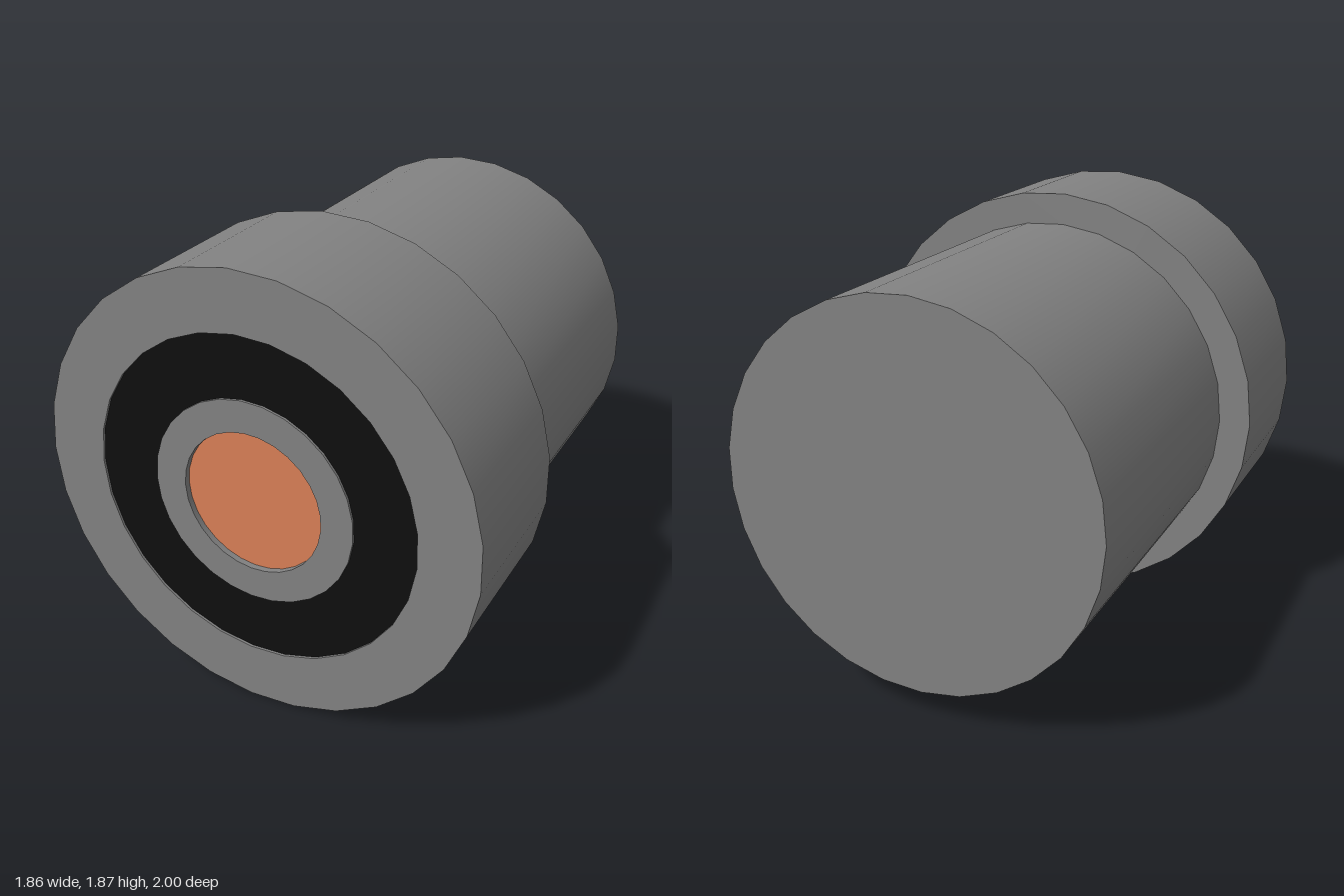
import * as THREE from 'three';
import { mergeGeometries } from 'three/addons/utils/BufferGeometryUtils.js';

const SIDES = 29;

// Revolve a [radius, z] profile around z, with a sharp edge at every profile point.
function turned(profile, sides = SIDES) {
  const bands = [];
  for (let i = 0; i < profile.length - 1; i++) {
    const pts = [profile[i], profile[i + 1]].map(([r, z]) => new THREE.Vector2(r, z));
    bands.push(new THREE.LatheGeometry(pts, sides, -Math.PI / 2));
  }
  return mergeGeometries(bands).rotateX(Math.PI / 2);
}

function material(name, color) {
  const m = new THREE.MeshStandardMaterial({ color });
  m.name = name;
  return m;
}

export function createModel() {
  const grey = material('grey', 0x828282);
  const black = material('black', 0x0e0e0e);
  const orange = material('orange', 0xd97f56);

  const group = new THREE.Group();
  const add = (name, profile, mat, sides) => {
    const mesh = new THREE.Mesh(turned(profile, sides), mat);
    mesh.name = name;
    mesh.position.set(0.003, 0.933, 0);
    group.add(mesh);
  };

  // Narrow rear barrel with a closed back
  add('barrel', [[0, -1], [0.8, -1], [0.8, 0.335]], grey);
  // Wide front collar: rear step, outer wall, front rim, shallow groove wall
  add('collar', [[0.8, 0.335], [0.934, 0.335], [0.934, 1], [0.688, 1], [0.688, 0.99]], grey);
  // Black ring in the bottom of the groove
  add('blackRing', [[0.688, 0.99], [0.43, 0.99]], black);
  // Inner grey ring with a recessed bore
  add('innerRing', [[0.43, 0.99], [0.43, 1], [0.297, 1], [0.297, 0.975]], grey);
  // Orange disc at the bottom of the bore
  add('centreDisc', [[0.297, 0.975], [0, 0.975]], orange);

  return group;
}
